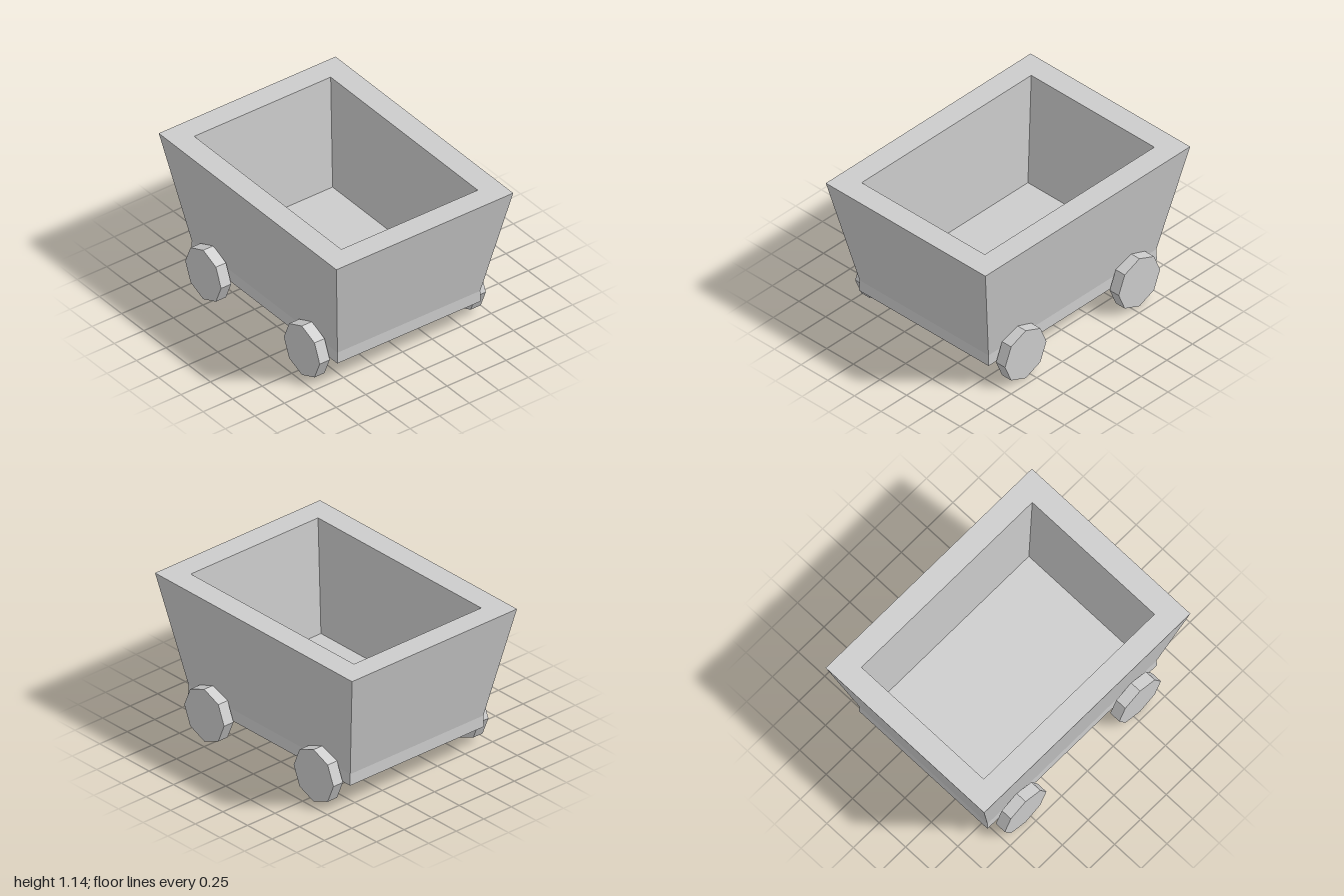
import * as THREE from 'three';

const material = new THREE.MeshStandardMaterial({ color: 0xcccccc, flatShading: true });

// Loft through rectangular rings [halfWidth, y, halfLength], capped at both ends
function rectLoft(rings) {
  const corners = rings.map(([x, y, z]) => [[x, y, z], [x, y, -z], [-x, y, -z], [-x, y, z]]);
  const positions = [];
  const quad = (a, b, c, d) => positions.push(...a, ...b, ...c, ...a, ...c, ...d);
  const first = corners[0];
  const last = corners[corners.length - 1];
  quad(first[3], first[2], first[1], first[0]);
  for (let i = 0; i < corners.length - 1; i++) {
    for (let j = 0; j < 4; j++) {
      const k = (j + 1) % 4;
      quad(corners[i][j], corners[i][k], corners[i + 1][k], corners[i + 1][j]);
    }
  }
  quad(...last);
  const geometry = new THREE.BufferGeometry();
  geometry.setAttribute('position', new THREE.Float32BufferAttribute(positions, 3));
  geometry.computeVertexNormals();
  return geometry;
}

export function createModel() {
  const cart = new THREE.Group();
  cart.name = 'cart';

  // Open tub: base band, flared outside, flat rim, tapered inside, floor
  const tub = new THREE.Mesh(rectLoft([
    [0.607, 0.203, 0.822],
    [0.604, 0.29, 0.82],
    [0.748, 1.14, 1.0],
    [0.577, 1.14, 0.828],
    [0.54, 0.285, 0.757],
  ]), material);
  tub.name = 'tub';
  cart.add(tub);

  // Four eight-sided wheels, standing on a corner
  const wheelGeometry = new THREE.CylinderGeometry(0.202, 0.202, 0.085, 8).rotateZ(Math.PI / 2);
  for (const [side, x] of [['left', 0.657], ['right', -0.664]]) {
    for (const [end, z] of [['Front', 0.555], ['Back', -0.555]]) {
      const wheel = new THREE.Mesh(wheelGeometry, material);
      wheel.name = `${side}${end}Wheel`;
      wheel.position.set(x, 0.203, z);
      cart.add(wheel);
    }
  }

  return cart;
}
